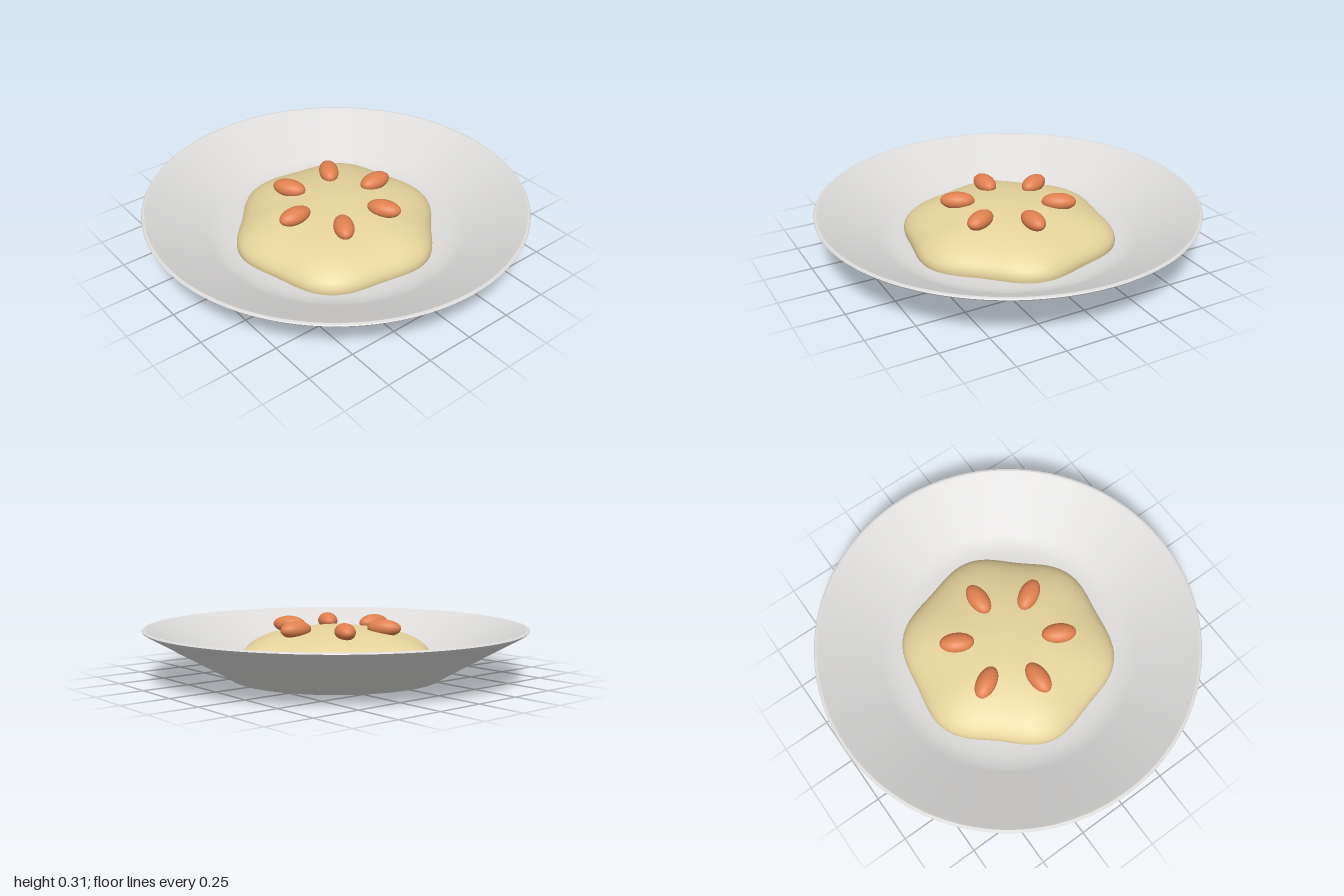
import * as THREE from 'three';
import { mergeVertices, toCreasedNormals } from 'three/addons/utils/BufferGeometryUtils.js';

const ceramic = new THREE.MeshStandardMaterial({ name: 'pale ceramic', color: 0xdcdbda });
const cream = new THREE.MeshStandardMaterial({ name: 'creamy beige', color: 0xe6d39c });
const nutBrown = new THREE.MeshStandardMaterial({ name: 'orange brown', color: 0xe08050 });

// Shallow dish turned from one closed profile: foot, sloping wall, lip, inner well.
function makeDish() {
  const profile = [
    [0, 0], [0.56, 0], [0.6, 0.027], [0.98, 0.243], [0.995, 0.252], [1, 0.258],
    [0.996, 0.263], [0.985, 0.265], [0.97, 0.259], [0.67, 0.096], [0.63, 0.08],
    [0.58, 0.071], [0.52, 0.07], [0, 0.07],
  ].map(([r, y]) => new THREE.Vector2(r, y));
  const mesh = new THREE.Mesh(toCreasedNormals(new THREE.LatheGeometry(profile, 96), 0.45), ceramic);
  mesh.name = 'dish';
  return mesh;
}

// Low dome with six soft lobes, slightly stretched along one diagonal.
function makeMound() {
  const geometry = new THREE.SphereGeometry(1, 96, 28, 0, Math.PI * 2, 0, 1.65);
  const position = geometry.attributes.position;
  const peak = THREE.MathUtils.degToRad(132);
  for (let i = 0; i < position.count; i++) {
    const x = position.getX(i), y = position.getY(i), z = position.getZ(i);
    const angle = Math.atan2(z, x);
    const radius = 0.535 + 0.02 * Math.cos(6 * (angle - peak)) + 0.012 * Math.cos(2 * (angle - peak));
    position.setXYZ(i, x * radius, 0.085 + y * 0.176, z * radius);
  }
  geometry.deleteAttribute('uv');
  geometry.deleteAttribute('normal');
  const smooth = mergeVertices(geometry, 1e-5);
  smooth.computeVertexNormals();
  const mesh = new THREE.Mesh(smooth, cream);
  mesh.name = 'mound';
  return mesh;
}

// Ring of six nuts pointing outward from the centre.
function makeNuts() {
  const nuts = new THREE.Group();
  nuts.name = 'nuts';
  const geometry = new THREE.SphereGeometry(1, 28, 18);
  geometry.scale(0.09, 0.044, 0.052);
  for (let i = 0; i < 6; i++) {
    const angle = (i * Math.PI) / 3;
    const nut = new THREE.Mesh(geometry, nutBrown);
    nut.name = 'nut' + (i + 1);
    nut.position.set(0.265 * Math.cos(angle), 0.261, 0.265 * Math.sin(angle));
    nut.rotation.y = -angle;
    nuts.add(nut);
  }
  return nuts;
}

export function createModel() {
  const group = new THREE.Group();
  group.name = 'dishOfDip';
  group.add(makeDish(), makeMound(), makeNuts());
  return group;
}
